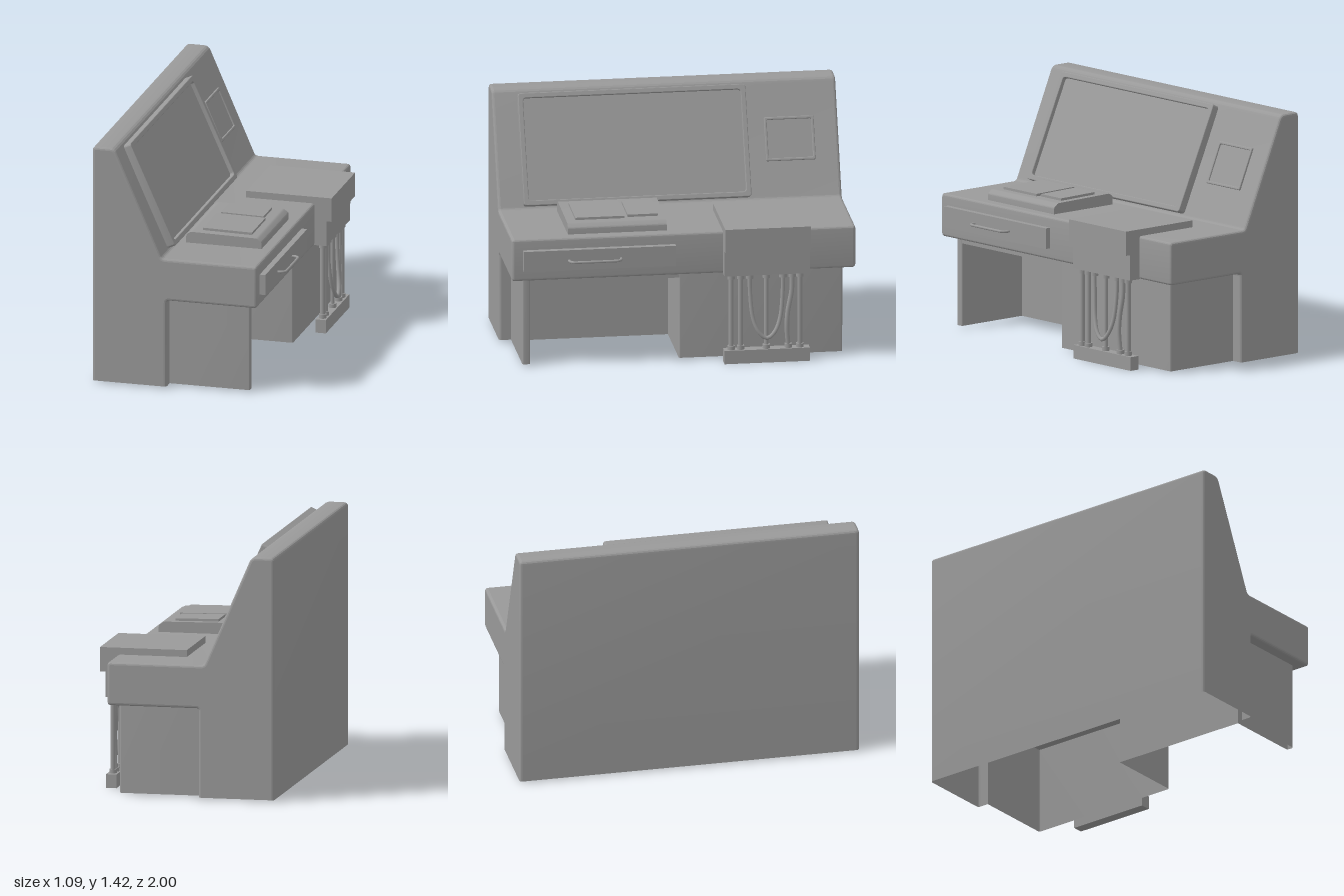
import * as THREE from 'three';
import { toCreasedNormals } from 'three/addons/utils/BufferGeometryUtils.js';

const grey = new THREE.MeshStandardMaterial({ color: 0x999999, side: THREE.DoubleSide });

function add(parent, name, geometry, x = 0, y = 0, z = 0) {
  const mesh = new THREE.Mesh(geometry, grey);
  mesh.name = name;
  mesh.position.set(x, y, z);
  parent.add(mesh);
  return mesh;
}

// Box given by its lower and upper limits
function box(parent, name, [x0, x1], [y0, y1], [z0, z1]) {
  return add(parent, name, new THREE.BoxGeometry(x1 - x0, y1 - y0, z1 - z0),
    (x0 + x1) / 2, (y0 + y1) / 2, (z0 + z1) / 2);
}

// Closed outline; each point may carry a corner radius as third value
function outline(points, Type = THREE.Shape) {
  const shape = new Type();
  const n = points.length;
  points.forEach(([x, y, r = 0], i) => {
    const p = new THREE.Vector2(x, y);
    const toward = (q) => new THREE.Vector2(q[0], q[1]).sub(p).setLength(r).add(p);
    const a = toward(points[(i + n - 1) % n]);
    const b = toward(points[(i + 1) % n]);
    if (i === 0) shape.moveTo(a.x, a.y); else shape.lineTo(a.x, a.y);
    if (r) shape.quadraticCurveTo(x, y, b.x, b.y);
  });
  shape.closePath();
  return shape;
}

const rect = (w, h, r, Type) => outline(
  [[-w / 2, -h / 2, r], [w / 2, -h / 2, r], [w / 2, h / 2, r], [-w / 2, h / 2, r]], Type);

// Extrusion from z0 to z1 whose bevel stays inside the outline
function extrude(shape, z0, z1, bevel = 0) {
  const g = new THREE.ExtrudeGeometry(shape, {
    depth: z1 - z0 - 2 * bevel, bevelEnabled: bevel > 0, bevelThickness: bevel,
    bevelSize: bevel, bevelOffset: -bevel, bevelSegments: 3, curveSegments: 4,
  });
  g.translate(0, 0, z0 + bevel);
  return toCreasedNormals(g, 0.2);
}

// Cuts the geometry off level at y = floor and drops each triangle that unwanted() picks
function openShell(geometry, floor, unwanted) {
  const pos = geometry.attributes.position;
  const kept = [];
  for (let i = 0; i < pos.count; i += 3) {
    const corners = [0, 1, 2].map((k) => new THREE.Vector3().fromBufferAttribute(pos, i + k));
    corners.forEach((c) => { c.y = Math.max(c.y, floor); });
    if (corners.every((c) => c.y === floor) || unwanted(corners)) continue;
    kept.push(...corners);
  }
  return toCreasedNormals(new THREE.BufferGeometry().setFromPoints(kept), 0.2);
}

// Upright wall following a plan path of (x, z) points
function wall(path, y0, y1) {
  const g = new THREE.PlaneGeometry(1, 1, path.length - 1, 1);
  for (let i = 0; i < path.length; i++) {
    g.attributes.position.setXYZ(i, path[i].x, y1, path[i].y);
    g.attributes.position.setXYZ(i + path.length, path[i].x, y0, path[i].y);
  }
  return toCreasedNormals(g, 0.2);
}

// Framed panel lying on the sloped face: recessed sheet inside a raised rim
function slopedPanel(parent, name, [x, y, z], tilt, [w, h, thick], rim, inset, radius) {
  const panel = new THREE.Group();
  panel.name = name;
  panel.position.set(x, y, z);
  panel.rotation.set(-tilt, Math.PI / 2, 0, 'YXZ');
  const frame = rect(w, h, radius);
  frame.holes.push(rect(w - 2 * rim, h - 2 * rim, radius, THREE.Path));
  add(panel, name + 'Frame', extrude(frame, 0, thick, 0.005));
  add(panel, name + 'Sheet', new THREE.BoxGeometry(w - rim, h - rim, thick - inset),
    0, 0, (thick - inset) / 2);
  parent.add(panel);
}

function tube(parent, name, points, radius) {
  const curve = new THREE.CatmullRomCurve3(
    points.map((p) => new THREE.Vector3(...p)), false, 'catmullrom', 0.5);
  return add(parent, name, new THREE.TubeGeometry(curve, 40, radius, 10));
}

export function createModel() {
  const model = new THREE.Group();
  model.name = 'consoleDesk';

  // Upright back, sloped face and worktop: a shell open below and towards the pedestal
  const body = extrude(outline([
    [-0.545, -0.01], [-0.10, -0.01], [-0.10, 0.53, 0.015], [0.44, 0.53, 0.02],
    [0.44, 0.782, 0.02], [-0.13, 0.782, 0.02], [-0.41, 1.425, 0.03], [-0.545, 1.425, 0.025],
  ]), -1, 1, 0.016);
  add(model, 'consoleBody', openShell(body, 0.01, (corners) => corners.every(
    (c) => Math.abs(c.x + 0.10) < 0.002 && c.y < 0.52 && Math.abs(c.z) < 0.985)));

  // Pedestal walls around a knee space open to the front
  const plan = outline([
    [-0.10, 0.984], [-0.10, 0.93], [0.38, 0.93, 0.012], [0.38, 0.885, 0.012], [-0.08, 0.885],
    [-0.08, 0.02], [0.38, 0.02, 0.012], [0.38, -0.93, 0.012], [-0.10, -0.93], [-0.10, -0.984],
  ]).getPoints(4).slice(0, -1);
  add(model, 'pedestalWalls', wall(plan, 0.01, 0.532));
  box(model, 'kneeSpaceCeiling', [-0.08, 0.379], [0.495, 0.532], [0.018, 0.887]);

  // Display panels on the slope
  slopedPanel(model, 'mainScreen', [-0.268, 1.097, 0.193], 0.425, [1.325, 0.655, 0.05], 0.03, 0.025, 0.02);
  slopedPanel(model, 'sidePanel', [-0.273, 1.1, -0.715], 0.41, [0.29, 0.255, 0.016], 0.016, 0.009, 0.008);

  // Drawer and its pull
  box(model, 'drawerFront', [0.43, 0.474], [0.597, 0.718], [0.05, 0.935]);
  tube(model, 'drawerHandle', [
    [0.465, 0.655, 0.37], [0.49, 0.655, 0.37], [0.512, 0.655, 0.385], [0.517, 0.655, 0.42],
    [0.517, 0.655, 0.62], [0.512, 0.655, 0.655], [0.49, 0.655, 0.67], [0.465, 0.655, 0.67],
  ], 0.008);

  // Control pad with two raised plates
  add(model, 'controlPad', extrude(outline([
    [-0.076, 0.77], [0.375, 0.77], [0.375, 0.82, 0.01], [0.345, 0.843, 0.01],
    [-0.05, 0.849, 0.01], [-0.076, 0.83, 0.01],
  ]), 0.09, 0.665));
  for (const [name, x0, x1, z0, z1] of [
    ['smallPlate', 0.03, 0.285, 0.13, 0.305], ['largePlate', 0.01, 0.302, 0.325, 0.612]]) {
    const plate = box(model, name, [x0, x1], [0.84, 0.86], [z0, z1]);
    plate.rotation.z = -0.015;
  }

  // Terminal unit hooked over the front edge
  const zMin = -0.725, zMax = -0.228;
  add(model, 'terminalCover', extrude(outline([
    [0.03, 0.775], [0.43, 0.775], [0.43, 0.68], [0.542, 0.68], [0.542, 0.822], [0.03, 0.822],
  ]), zMin, zMax));
  box(model, 'terminalBlock', [0.435, 0.51], [0.53, 0.69], [zMin, zMax]);
  box(model, 'pipeBase', [0.445, 0.507], [0, 0.08], [zMin, zMax]);

  // Pipes with end collars
  const collar = (y, z) => add(model, 'pipeCollar',
    new THREE.CylinderGeometry(0.022, 0.022, 0.026, 16), 0.477, y, z);
  for (const z of [-0.27, -0.325, -0.67]) {
    add(model, 'pipe', new THREE.CylinderGeometry(0.015, 0.015, 0.46, 16), 0.477, 0.305, z);
    collar(0.09, z);
    collar(0.518, z);
  }
  for (const z of [-0.378, -0.475, -0.572, -0.625]) collar(0.518, z);
  for (const z of [-0.475, -0.603]) collar(0.09, z);
  add(model, 'middlePipe', new THREE.CylinderGeometry(0.013, 0.013, 0.46, 16), 0.477, 0.305, -0.475);

  // Hanging loop of hose and a loosely bent hose
  tube(model, 'hoseLoop', [
    [0.477, 0.53, -0.378], [0.478, 0.42, -0.38], [0.488, 0.28, -0.393], [0.502, 0.19, -0.425],
    [0.506, 0.148, -0.475],
    [0.502, 0.19, -0.525], [0.488, 0.28, -0.557], [0.478, 0.42, -0.57], [0.477, 0.53, -0.572],
  ], 0.012);
  tube(model, 'bentHose', [
    [0.477, 0.53, -0.625], [0.477, 0.42, -0.622], [0.48, 0.3, -0.6],
    [0.482, 0.2, -0.594], [0.477, 0.08, -0.603],
  ], 0.014);

  return model;
}
